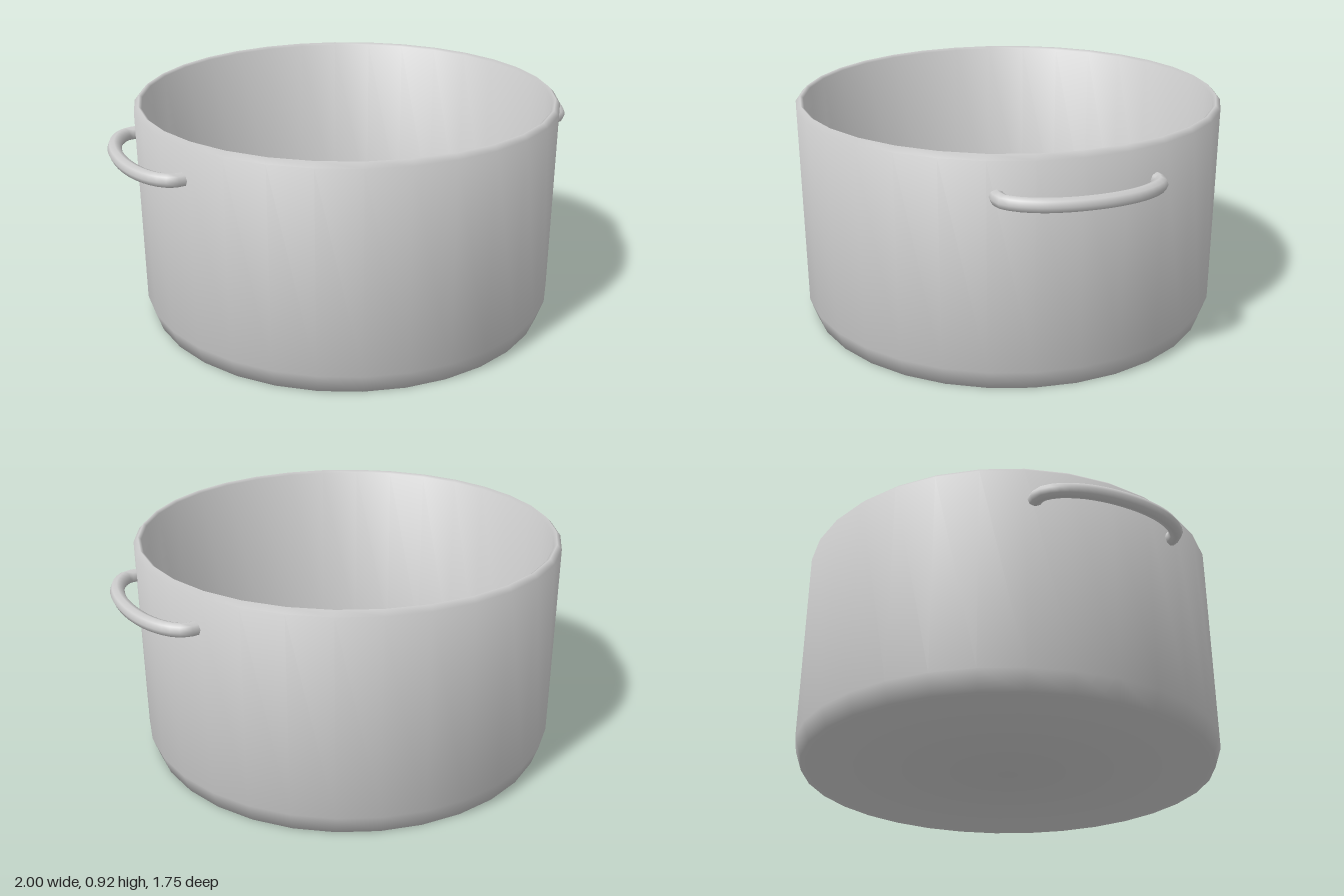
import * as THREE from 'three';

const material = new THREE.MeshStandardMaterial({ color: 0xcccccc, side: THREE.DoubleSide });

// Lathe whose normals average the neighbouring profile edges equally, for soft blending
function softLathe(profile, segments) {
  const points = profile.map(([r, y]) => new THREE.Vector2(r, y));
  const geometry = new THREE.LatheGeometry(points, segments);
  const edges = points.slice(1).map((p, i) => {
    const d = p.clone().sub(points[i]);
    return new THREE.Vector2(d.y, -d.x).normalize();
  });
  const normals = points.map((p, i) => {
    if (p.x === 0) return (edges[i] || edges[i - 1]).clone();
    return edges[i - 1].clone().add(edges[i]).normalize();
  });
  const attribute = geometry.attributes.normal;
  for (let i = 0; i <= segments; i++) {
    const a = (i / segments) * Math.PI * 2;
    normals.forEach((n, j) => attribute.setXYZ(
      i * points.length + j, n.x * Math.sin(a), n.y, n.x * Math.cos(a)));
  }
  return geometry;
}

// Bowed side handle, its ends sunk into the wall
function makeHandle(side) {
  const half = [[0.81, 0.3], [0.86, 0.3], [0.905, 0.26], [0.945, 0.18], [0.966, 0.085]];
  const outline = [...half, [0.971, 0], ...half.map(([x, z]) => [x, -z]).reverse()];
  const path = new THREE.CatmullRomCurve3(
    outline.map(([x, z]) => new THREE.Vector3(side * x, 0.77, z)));
  const handle = new THREE.Mesh(new THREE.TubeGeometry(path, 24, 0.028, 8), material);
  handle.name = side > 0 ? 'leftHandle' : 'rightHandle';
  return handle;
}

export function createModel() {
  const model = new THREE.Group();
  model.name = 'cookingPot';

  // Hollow body: base, chamfer, outer wall, rim, inner wall, floor
  const body = new THREE.Mesh(softLathe([
    [0, 0], [0.85, 0], [0.877, 0.08], [0.877, 0.9], [0.858, 0.92],
    [0.845, 0.91], [0.845, 0.1], [0.82, 0.03], [0, 0.03],
  ], 32), material);
  body.name = 'potBody';
  model.add(body);

  for (const side of [-1, 1]) model.add(makeHandle(side));
  return model;
}
